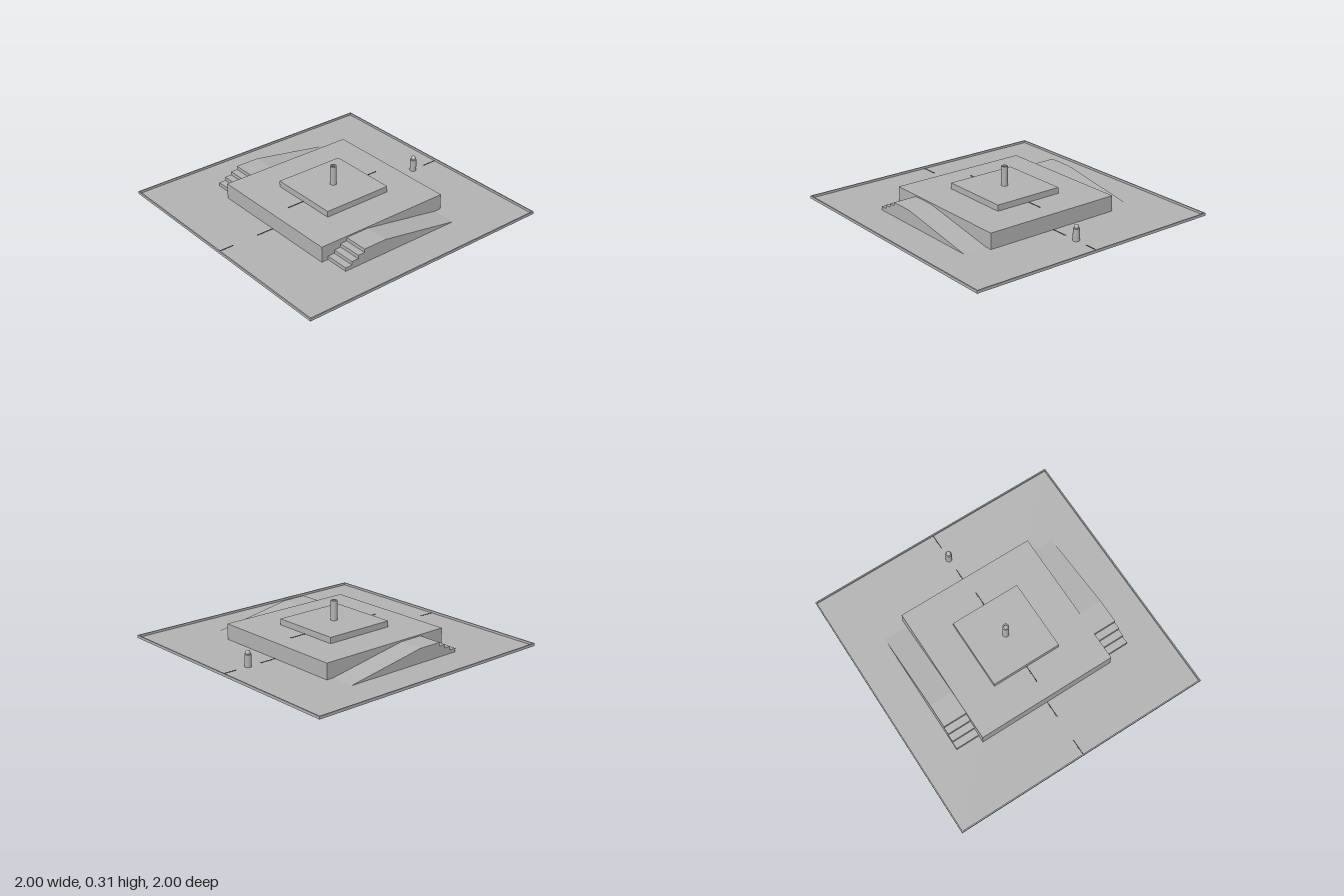
import * as THREE from 'three';

export function createModel() {
  const model = new THREE.Group();
  const stone = new THREE.MeshStandardMaterial({ color: 0xb2b2b2 });
  stone.name = 'stone grey';
  const dark = new THREE.MeshStandardMaterial({ color: 0x3a3a3a });
  dark.name = 'dark grey';

  const FLOOR = 0.003, RIM = 0.02, RIM_W = 0.009;
  const PLATFORM = 0.538, PLATFORM_TOP = 0.12;
  const DAIS = 0.27, DAIS_TOP = 0.165;

  function add(name, geometry, material = stone) {
    const mesh = new THREE.Mesh(geometry, material);
    mesh.name = name;
    model.add(mesh);
    return mesh;
  }

  // Box given by its footprint, bottom and top
  function block(name, w, d, y0, y1, x = 0, z = 0, material = stone) {
    const mesh = add(name, new THREE.BoxGeometry(w, y1 - y0, d), material);
    mesh.position.set(x, (y0 + y1) / 2, z);
    return mesh;
  }

  // Ground sheet with a low rim round it
  block('ground', 2, 2, 0, FLOOR);
  for (const s of [-1, 1]) {
    block('rimSide', RIM_W, 2, 0, RIM, s * (1 - RIM_W / 2), 0);
    block('rimEnd', 2 - 2 * RIM_W, RIM_W, 0, RIM, 0, s * (1 - RIM_W / 2));
  }

  // Two square tiers
  block('platform', 2 * PLATFORM, 2 * PLATFORM, FLOOR, PLATFORM_TOP);
  block('dais', 2 * DAIS, 2 * DAIS, PLATFORM_TOP, DAIS_TOP);

  // Side blocks: steps at the front, landing, ramp down to the back
  const steps = 4, landing = 0.11, rise = (landing - FLOOR) / steps, tread = 0.0535;
  const profile = new THREE.Shape();
  profile.moveTo(-0.487, FLOOR);
  profile.lineTo(0.485, FLOOR);
  for (let i = 0; i < steps; i++) {
    const z = 0.485 - i * tread, y = FLOOR + (i + 1) * rise;
    profile.lineTo(z, y);
    profile.lineTo(i < steps - 1 ? z - tread : 0.14, y);
  }
  const width = 0.72 - PLATFORM;
  for (const [name, x] of [['leftStepsAndRamp', PLATFORM], ['rightStepsAndRamp', -0.72]]) {
    const geometry = new THREE.ExtrudeGeometry(profile, { depth: width, bevelEnabled: false });
    // Turn the profile so that its x runs along z
    geometry.rotateY(-Math.PI / 2);
    geometry.translate(x + width, 0, 0);
    add(name, geometry);
  }

  // Centre line dashes on the ground and the platform
  for (const s of [-1, 1]) {
    for (const [z0, z1, y] of [[0.87, 0.99, FLOOR], [0.538, 0.67, FLOOR], [0.27, 0.4, PLATFORM_TOP]]) {
      block('centreDash', 0.007, z1 - z0, y, y + 0.002, 0, s * (z0 + z1) / 2, dark);
    }
  }

  // Central pillar with a shallow recess in its top
  const pillar = [[0.024, DAIS_TOP], [0.024, 0.31], [0.015, 0.31], [0.015, 0.3], [0, 0.3]];
  // Split into separate bands so the edges stay sharp
  for (let i = 0; i < pillar.length - 1; i++) {
    const band = [pillar[i], pillar[i + 1]].map(([r, y]) => new THREE.Vector2(r, y));
    add('pillar', new THREE.LatheGeometry(band, 24));
  }

  // Bollard with a ball on top, behind the platform
  const bollard = add('bollard', new THREE.CylinderGeometry(0.024, 0.024, 0.092 - FLOOR, 24));
  bollard.position.set(0, (0.092 + FLOOR) / 2, -0.77);
  const ball = add('bollardBall', new THREE.SphereGeometry(0.018, 24, 16));
  ball.position.set(0, 0.103, -0.77);

  return model;
}
